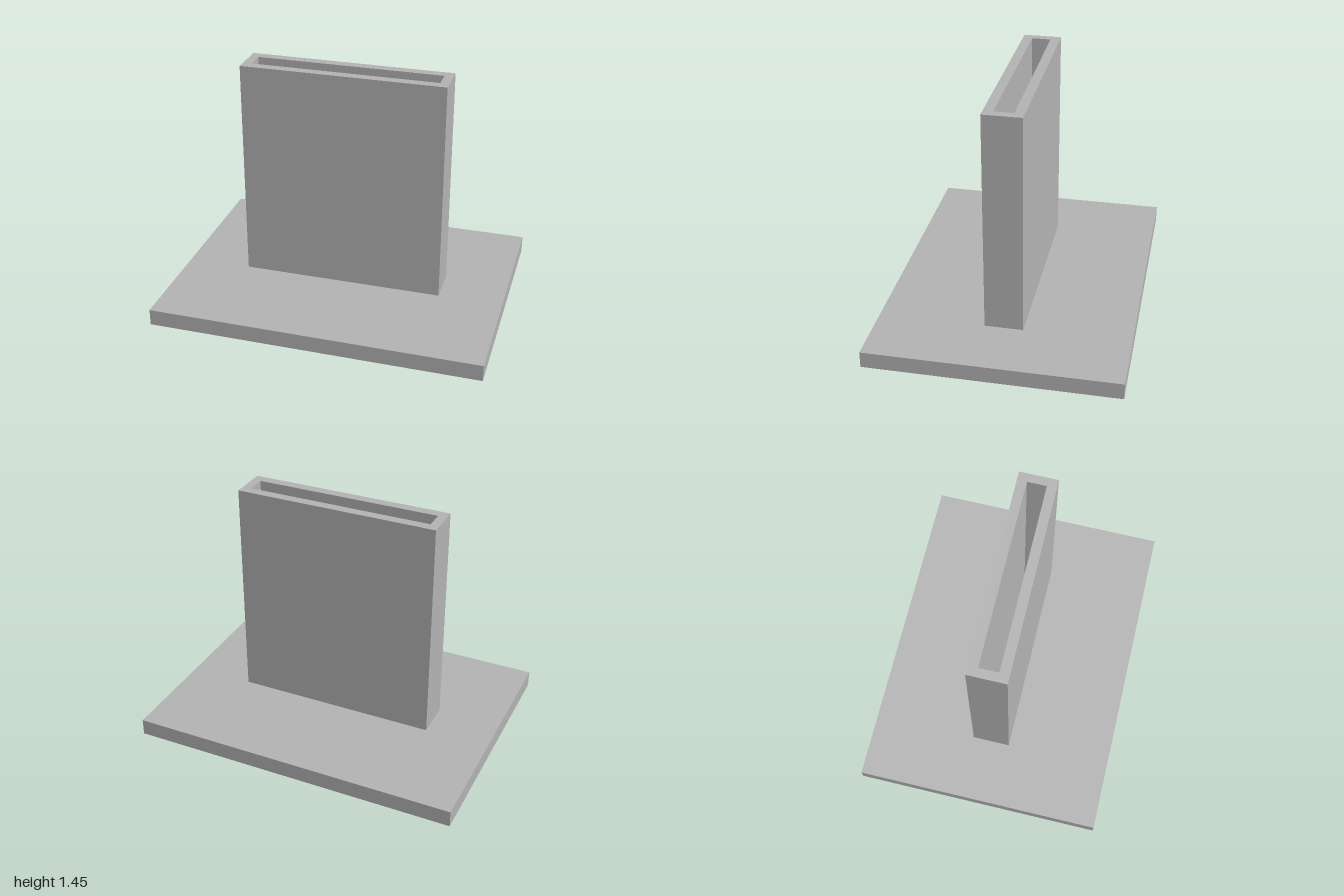
import * as THREE from 'three';

const BASE = { w: 2, h: 0.1, d: 1.5 };
const SLEEVE = { w: 1.225, d: 0.23, top: 1.45 };
const SLOT = { w: 1.12, d: 0.115 };

// Corners of a centred rectangle
function rectangle(w, d) {
  return [[-w, -d], [w, -d], [w, d], [-w, d]].map(([x, y]) => new THREE.Vector2(x / 2, y / 2));
}

export function createModel() {
  const group = new THREE.Group();
  const grey = new THREE.MeshStandardMaterial({ color: 0xb2b2b2 });
  grey.name = 'plain grey';

  // Flat base plate, which also closes the bottom of the slot
  const base = new THREE.Mesh(new THREE.BoxGeometry(BASE.w, BASE.h, BASE.d), grey);
  base.name = 'basePlate';
  base.position.y = BASE.h / 2;
  group.add(base);

  // Upright hollow sleeve, open at the top
  const outline = new THREE.Shape(rectangle(SLEEVE.w, SLEEVE.d));
  outline.holes.push(new THREE.Path(rectangle(SLOT.w, SLOT.d).reverse()));
  const geometry = new THREE.ExtrudeGeometry(outline, {
    depth: SLEEVE.top - BASE.h,
    bevelEnabled: false,
  });
  geometry.rotateX(-Math.PI / 2);
  const sleeve = new THREE.Mesh(geometry, grey);
  sleeve.name = 'uprightSleeve';
  sleeve.position.y = BASE.h;
  group.add(sleeve);

  return group;
}
